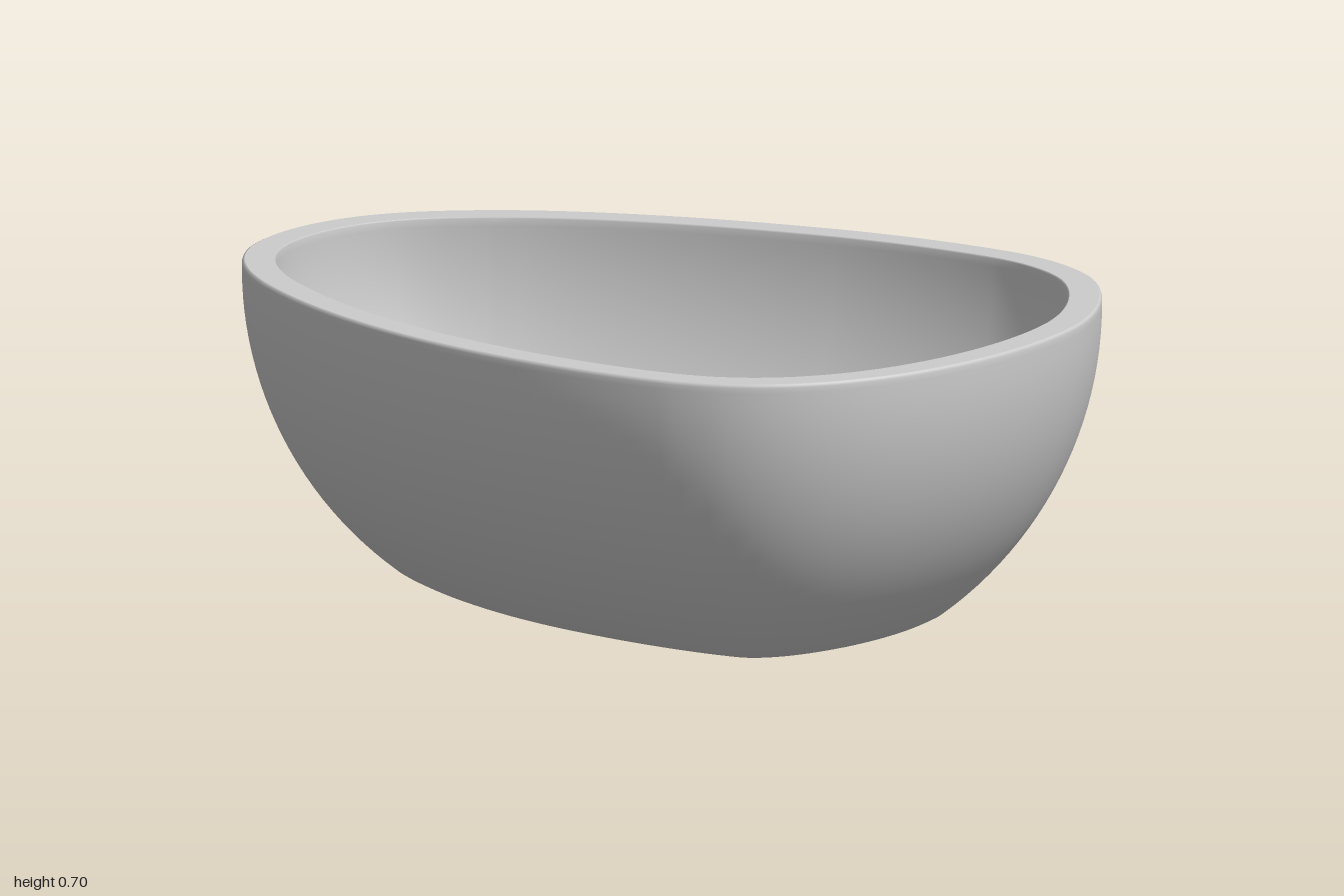
import * as THREE from 'three';

// Base outline: x, z and direction of the outward normal in degrees
const NODES = [
  [0.645, -0.08, 0], [0.57, 0.245, -26], [0.40, 0.41, -90], [-0.06, 0.311, -110],
  [-0.568, -0.013, -136], [-0.65, -0.15, -180], [-0.612, -0.255, -227], [-0.50, -0.32, -246],
  [0.15, -0.42, -270], [0.485, -0.38, -284], [0.555, -0.342, -310], [0.603, -0.263, -337],
];
const STEPS = 14;
const FLARE = 0.35;   // how far the rim overhangs the base
const HEIGHT = 0.7;
const ARC_Y = 0.68;   // height of the centre of the wall arc
const RADIUS = 0.84;
const WALL = 0.075;

// Smooth convex outline: tangent-matched curves between the nodes
function makeOutline() {
  const out = [];
  NODES.forEach(([x, z, deg], i) => {
    const next = NODES[(i + 1) % NODES.length];
    const tangent = (d) => {
      const a = THREE.MathUtils.degToRad(d);
      return new THREE.Vector2(Math.sin(a), Math.cos(a));
    };
    const p = new THREE.Vector2(x, z), q = new THREE.Vector2(next[0], next[1]);
    const t = tangent(deg), u = tangent(next[2]);
    const corner = p.clone().addScaledVector(t, q.clone().sub(p).cross(u) / t.cross(u));
    const curve = new THREE.CubicBezierCurve(
      p, p.clone().lerp(corner, 0.62), q.clone().lerp(corner, 0.62), q);
    for (let k = 0; k < STEPS; k++) {
      const pos = curve.getPoint(k / STEPS);
      const dir = curve.getTangent(k / STEPS);
      out.push({ pos, normal: new THREE.Vector2(dir.y, -dir.x) });
    }
  });
  return out;
}

// Sweep a profile of [outward offset, height, scale] round the outline
function sweep(name, outline, profile, material) {
  const n = outline.length, positions = [], index = [];
  profile.forEach(([offset, y, scale = 1], r) => {
    outline.forEach(({ pos, normal }, j) => {
      positions.push((pos.x + normal.x * offset) * scale, y, (pos.y + normal.y * offset) * scale);
      if (r === profile.length - 1) return;
      const a = r * n + j, b = r * n + (j + 1) % n;
      index.push(a, a + n, b, b, a + n, b + n);
    });
  });
  const geometry = new THREE.BufferGeometry();
  geometry.setAttribute('position', new THREE.Float32BufferAttribute(positions, 3));
  geometry.setIndex(index);
  geometry.computeVertexNormals();
  const mesh = new THREE.Mesh(geometry, material);
  mesh.name = name;
  return mesh;
}

// Circular wall profile from height yLow up to the arc centre
function wallArc(radius, yLow, count = 24) {
  const start = Math.asin((yLow - ARC_Y) / radius);
  return Array.from({ length: count + 1 }, (_, i) => {
    const a = start * (1 - i / count);
    return [FLARE - RADIUS + radius * Math.cos(a), ARC_Y + radius * Math.sin(a)];
  });
}

export function createModel() {
  const group = new THREE.Group();
  group.name = 'bowl';
  const material = new THREE.MeshStandardMaterial({ color: 0xcccccc });
  const outline = makeOutline();
  const inner = FLARE - WALL;

  // Underside
  group.add(sweep('base', outline, [[-0.008, 0, 0], [-0.008, 0]], material));

  // Outer wall with softened foot and top edge
  group.add(sweep('outerWall', outline, [
    [-0.008, 0], [0.002, 0.003], ...wallArc(RADIUS, 0.012),
    [FLARE, 0.692], [FLARE - 0.002, 0.698], [FLARE - 0.006, HEIGHT],
  ], material));

  // Flat lip
  group.add(sweep('rim', outline, [[FLARE - 0.006, HEIGHT], [inner + 0.003, HEIGHT]], material));

  // Inner wall blending into the flat floor
  group.add(sweep('innerWall', outline, [
    [inner + 0.003, HEIGHT], [inner, 0.697],
    ...wallArc(RADIUS - WALL, 0.11).reverse(),
    [0.008, 0.099], [-0.008, 0.092], [-0.025, 0.09], [-0.03, 0.09], [-0.03, 0.09, 0],
  ], material));

  return group;
}
